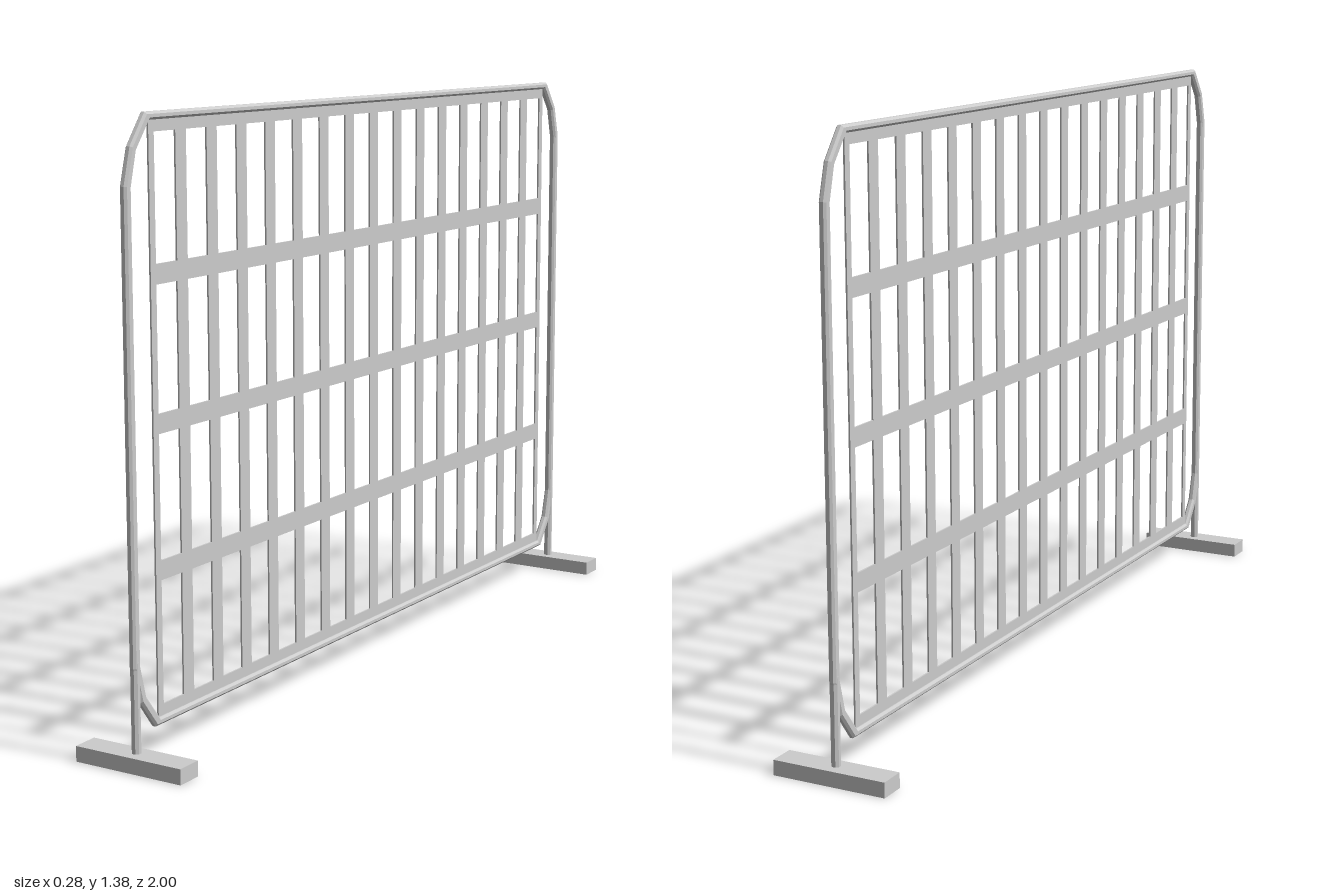
import * as THREE from 'three';

const MID = 0.7275; // height of the frame's centre
const material = new THREE.MeshStandardMaterial({ color: 0xcccccc, flatShading: true, side: THREE.DoubleSide });

// Closed loop with two-segment corners, from three points of one quadrant
function cornerLoop(quadrant) {
  const back = [...quadrant].reverse();
  const flip = (list, sx, sy) => list.map(([x, y]) => new THREE.Vector2(sx * x, sy * y));
  return [...flip(quadrant, 1, 1), ...flip(back, -1, 1), ...flip(quadrant, -1, -1), ...flip(back, 1, -1)];
}

// Extrude a side profile (z, y) symmetrically about x = 0
function sideExtrude(shape, thickness, bevel) {
  const geometry = new THREE.ExtrudeGeometry(shape, {
    depth: thickness - 2 * bevel, bevelEnabled: bevel > 0, bevelSegments: 1,
    bevelSize: bevel, bevelThickness: bevel, bevelOffset: -bevel,
  });
  geometry.translate(0, 0, -(thickness - 2 * bevel) / 2);
  geometry.rotateY(Math.PI / 2);
  return geometry;
}

export function createModel() {
  const group = new THREE.Group();
  const add = (name, geometry, x, y, z) => {
    const mesh = new THREE.Mesh(geometry, material);
    mesh.name = name;
    mesh.position.set(x, y, z);
    group.add(mesh);
  };

  // Tubular outer frame
  const outer = cornerLoop([[0.979, 0.505], [0.957, 0.585], [0.906, 0.652]]);
  const inner = cornerLoop([[0.957, 0.502], [0.938, 0.575], [0.891, 0.635]]);
  const frame = new THREE.Shape(outer);
  frame.holes.push(new THREE.Path(inner));
  add('frame', sideExtrude(frame, 0.018, 0.005), 0, MID, 0);

  // Thin grid panel with 16 x 4 openings
  const panel = new THREE.Shape([[-0.891, -0.638], [0.891, -0.638], [0.891, 0.638], [-0.891, 0.638]]
    .map(([x, y]) => new THREE.Vector2(x, y)));
  const w = 0.074, h = 0.273, pitchZ = 0.1114, pitchY = 0.316;
  for (let i = 0; i < 16; i++) {
    for (let j = 0; j < 4; j++) {
      const x = (i - 7.5) * pitchZ - w / 2, y = (j - 1.5) * pitchY - h / 2;
      panel.holes.push(new THREE.Path([[x, y], [x, y + h], [x + w, y + h], [x + w, y]]
        .map(([a, b]) => new THREE.Vector2(a, b))));
    }
  }
  add('gridPanel', sideExtrude(panel, 0.004, 0), 0, MID, 0);

  // Posts running down to the cross feet
  for (const s of [1, -1]) {
    const post = new THREE.CylinderGeometry(0.0105, 0.0105, 0.21, 8);
    post.rotateY(Math.PI / 8);
    add('post', post, 0, 0.13, s * 0.968);
    add('foot', new THREE.BoxGeometry(0.275, 0.035, 0.062), 0, 0.0175, s * 0.969);
  }
  return group;
}
